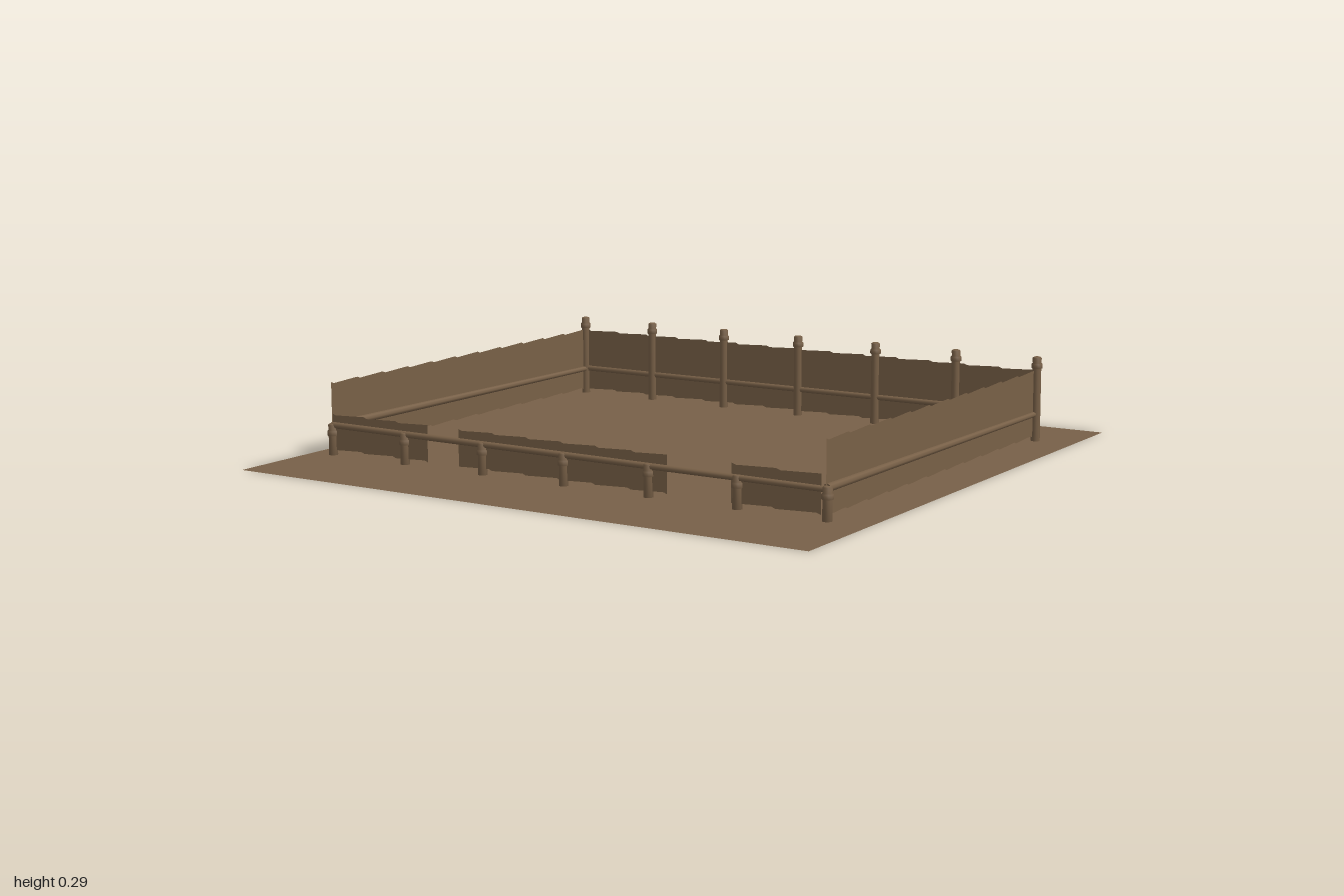
import * as THREE from 'three';

export function createModel() {
  const model = new THREE.Group();
  const wood = new THREE.MeshStandardMaterial({ color: 0x786047, side: THREE.DoubleSide });
  wood.name = 'brown wood';
  const earth = new THREE.MeshStandardMaterial({ color: 0x786048, side: THREE.DoubleSide });
  earth.name = 'brown earth';

  function add(name, geometry, material = wood) {
    const mesh = new THREE.Mesh(geometry, material);
    mesh.name = name;
    model.add(mesh);
    return mesh;
  }

  // Flat ground
  add('ground', new THREE.PlaneGeometry(2, 2).rotateX(-Math.PI / 2), earth);

  // Turned post with a collar and a small rounded cap
  function postGeometry(top) {
    const profile = [
      [0, 0.01], [0.015, 0.01], [0.014, top - 0.04], [0.018, top - 0.037],
      [0.018, top - 0.024], [0.014, top - 0.02], [0.015, top - 0.004], [0.01, top], [0, top],
    ];
    return new THREE.LatheGeometry(profile.map(([r, y]) => new THREE.Vector2(r, y)), 10);
  }
  const tall = postGeometry(0.287);
  const short = postGeometry(0.11);
  for (const x of [-0.89, -0.6, -0.3, 0, 0.3, 0.6, 0.89]) {
    add('backPost', tall).position.set(x, 0, -0.7);
    add('frontPost', short).position.set(x, 0, 0.7);
  }

  // Slightly tapered round rails
  function rail(name, from, to, r0, r1) {
    const a = new THREE.Vector3(...from);
    const b = new THREE.Vector3(...to);
    const mesh = add(name, new THREE.CylinderGeometry(r1, r0, a.distanceTo(b), 8));
    mesh.position.copy(a).lerp(b, 0.5);
    mesh.quaternion.setFromUnitVectors(new THREE.Vector3(0, 1, 0), b.sub(a).normalize());
  }
  rail('backRail', [-0.89, 0.1, -0.704], [0.89, 0.1, -0.7], 0.011, 0.009);
  rail('frontRail', [-0.89, 0.105, 0.698], [0.89, 0.1, 0.702], 0.011, 0.009);
  for (const side of [-1, 1]) {
    rail('sideRail', [side * 0.888, 0.103, 0.7], [side * 0.888, 0.098, -0.69], 0.013, 0.009);
  }

  // Thin panel with slightly ragged upper and lower edges
  function panelGeometry(from, to, bottom, top) {
    const count = Math.max(2, Math.round((to - from) / 0.125));
    const step = (to - from) / count;
    const shape = new THREE.Shape();
    shape.moveTo(from, bottom);
    for (let i = 0; i < count; i++) {
      shape.lineTo(from + (i + 0.9) * step, bottom + 0.005);
      shape.lineTo(from + (i + 1) * step, bottom);
    }
    for (let i = count; i > 0; i--) {
      shape.lineTo(from + i * step, top);
      shape.lineTo(from + (i - 0.9) * step, top - 0.005);
    }
    shape.lineTo(from, top);
    return new THREE.ShapeGeometry(shape);
  }
  add('backPanel', panelGeometry(-0.88, 0.88, 0.024, 0.243)).position.z = -0.7;
  for (const side of [-1, 1]) {
    const panel = add('sidePanel', panelGeometry(-0.705, 0.68, 0.024, 0.243));
    panel.rotation.y = Math.PI / 2;
    panel.position.x = side * 0.888;
  }

  // Low front panels with gaps between them
  for (const [from, to] of [[-0.89, -0.51], [-0.39, 0.365], [0.58, 0.87]]) {
    add('frontPanel', panelGeometry(from, to, 0.025, 0.142)).position.z = 0.7;
  }
  return model;
}
